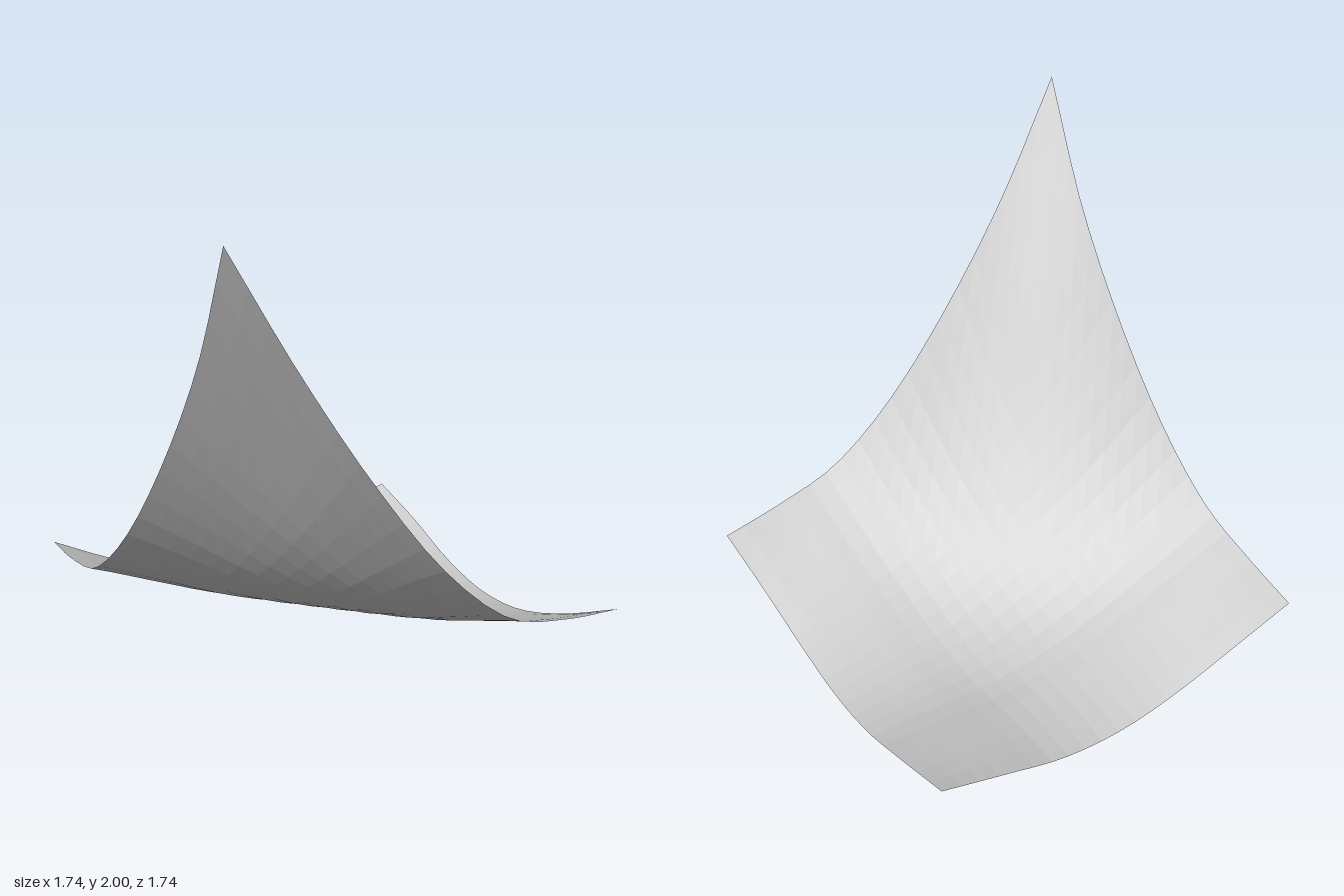
import * as THREE from 'three';

const SEGMENTS = 20;
const curve = (pts) => new THREE.CatmullRomCurve3(pts.map((p) => new THREE.Vector3(...p)), false, 'catmullrom', 0.5);

// Front edge: sweeps down from the high corner
const front = curve([
  [-0.84, 2, 0.84], [-0.555, 1.525, 0.803], [-0.27, 1.075, 0.815], [0.015, 0.685, 0.847],
  [0.3, 0.425, 0.87], [0.585, 0.335, 0.862], [0.87, 0.29, 0.84],
]);
// Back edge: shallow sag
const back = curve([
  [-0.84, 0.29, -0.87], [-0.56, 0.145, -0.837], [-0.28, 0.038, -0.823], [0, 0.002, -0.828],
  [0.28, 0.035, -0.838], [0.555, 0.12, -0.842], [0.835, 0.2, -0.835],
]);
// Left and right borders mirror the front and back ones across the diagonal
const mirror = (p) => new THREE.Vector3(-p.z, p.y, -p.x);

// Blend the four border curves into a sheet, raised a little in the middle
function sheetPoint(u, v) {
  const f = front.getPoint(u), b = back.getPoint(u);
  const l = mirror(front.getPoint(1 - v)), r = mirror(back.getPoint(1 - v));
  const c = [back.getPoint(0), back.getPoint(1), front.getPoint(0), front.getPoint(1)];
  const p = new THREE.Vector3()
    .addScaledVector(f, v).addScaledVector(b, 1 - v)
    .addScaledVector(l, 1 - u).addScaledVector(r, u)
    .addScaledVector(c[0], -(1 - u) * (1 - v)).addScaledVector(c[1], -u * (1 - v))
    .addScaledVector(c[2], -(1 - u) * v).addScaledVector(c[3], -u * v);
  p.y += 0.16 * 16 * u * (1 - u) * v * (1 - v);
  return p;
}

export function createModel() {
  const group = new THREE.Group();
  group.name = 'curvedSheet';

  const geometry = new THREE.PlaneGeometry(1, 1, SEGMENTS, SEGMENTS);
  const pos = geometry.attributes.position;
  for (let i = 0; i < pos.count; i++) {
    const p = sheetPoint(pos.getX(i) + 0.5, 0.5 - pos.getY(i));
    pos.setXYZ(i, p.x, p.y, p.z);
  }
  geometry.computeVertexNormals();

  const sheet = new THREE.Mesh(geometry, new THREE.MeshStandardMaterial({
    color: 0xcccccc, flatShading: true, side: THREE.DoubleSide,
  }));
  sheet.name = 'sheet';
  group.add(sheet);
  return group;
}
